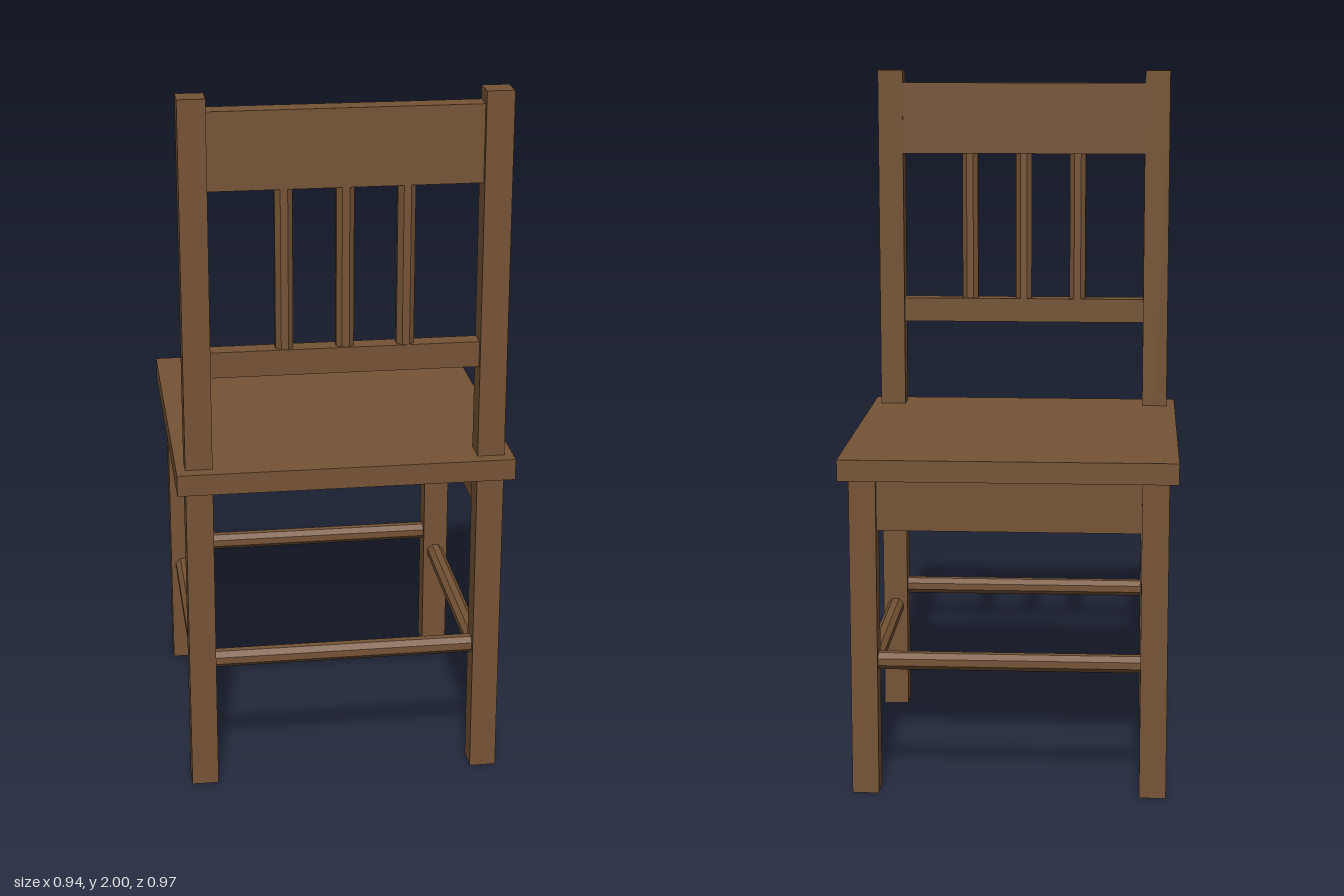
import * as THREE from 'three';

export function createModel() {
  const chair = new THREE.Group();
  chair.name = 'chair';
  const wood = new THREE.MeshStandardMaterial({ color: 0x755335 });
  wood.name = 'brown wood';
  // separate faceted shading for rods comes from non-indexed geometry

  // Box given by its min and max on each axis
  function box(name, [x0, x1], [y0, y1], [z0, z1]) {
    const mesh = new THREE.Mesh(new THREE.BoxGeometry(x1 - x0, y1 - y0, z1 - z0), wood);
    mesh.position.set((x0 + x1) / 2, (y0 + y1) / 2, (z0 + z1) / 2);
    mesh.name = name;
    chair.add(mesh);
  }

  // Eight-sided rod with flat facets, along axis 'x', 'y' or 'z'
  function rod(name, axis, length, x, y, z) {
    const g = new THREE.CylinderGeometry(0.026, 0.026, length, 8);
    g.rotateY(Math.PI / 8);
    if (axis === 'x') g.rotateZ(Math.PI / 2);
    if (axis === 'z') g.rotateX(Math.PI / 2);
    const flat = g.toNonIndexed();
    flat.computeVertexNormals();
    const mesh = new THREE.Mesh(flat, wood);
    mesh.position.set(x, y, z);
    mesh.name = name;
    chair.add(mesh);
  }

  const inner = 0.368, outer = 0.443;      // leg faces in x
  const backZ = [0.372, 0.448], frontZ = [-0.435, -0.36];

  // Seat
  box('seat', [-0.468, 0.468], [0.915, 0.975], [-0.486, 0.486]);

  // Legs, side aprons and side stretchers
  for (const [side, s] of [['left', 1], ['right', -1]]) {
    const span = (a, b) => (s > 0 ? [a, b] : [-b, -a]);
    box(side + 'BackPost', span(inner, outer), [0, 2], backZ);
    box(side + 'FrontLeg', span(inner, outer), [0, 0.915], frontZ);
    box(side + 'Apron', span(0.393, 0.428), [0.762, 0.915], [frontZ[1], backZ[0]]);
    rod(side + 'Stretcher', 'z', backZ[0] - frontZ[1], s * 0.405, 0.32, 0.006);
  }

  // Front apron with front and back stretchers
  box('frontApron', [-inner, inner], [0.762, 0.915], [-0.42, -0.385]);
  rod('frontStretcher', 'x', inner * 2, 0, 0.382, -0.398);
  rod('backStretcher', 'x', inner * 2, 0, 0.382, 0.41);

  // Backrest rails and spindles
  box('topRail', [-inner, inner], [1.75, 1.963], [0.373, 0.433]);
  box('lowerRail', [-inner, inner], [1.233, 1.305], [0.38, 0.433]);
  for (const x of [-0.165, 0, 0.165]) rod('spindle', 'y', 0.445, x, 1.5275, 0.406);

  return chair;
}
